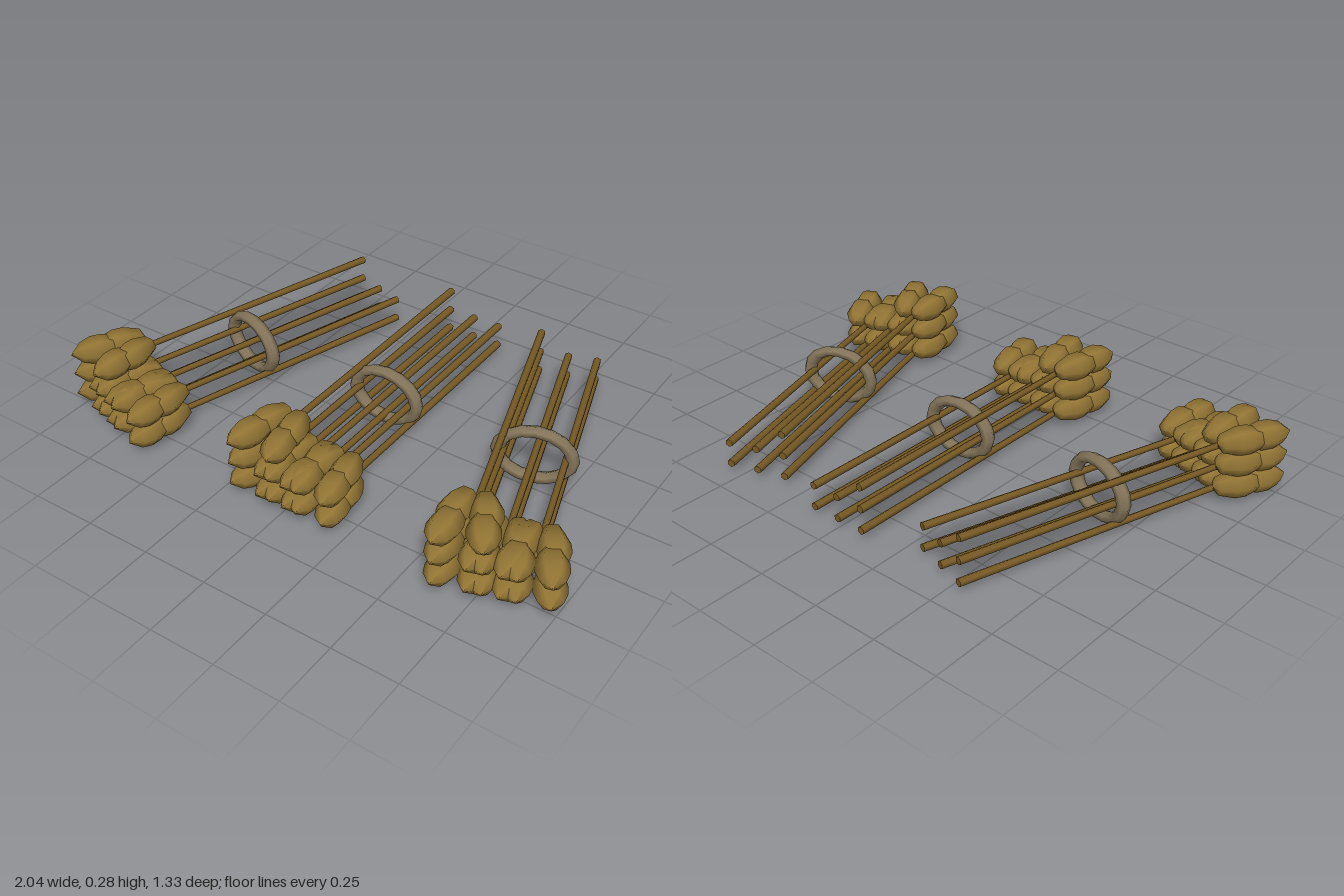
import * as THREE from 'three';

const grainMat = new THREE.MeshStandardMaterial({ color: 0x917434 });
grainMat.name = 'grain gold';
const stalkMat = new THREE.MeshStandardMaterial({ color: 0x785b25 });
stalkMat.name = 'straw brown';
const twineMat = new THREE.MeshStandardMaterial({ color: 0x84755a });
twineMat.name = 'twine grey';

// six-sided grain, blunt at the back and pointed at the front (+z)
function grainGeometry() {
  const profile = [[0, -0.095], [0.036, -0.08], [0.056, -0.02], [0.056, 0.02], [0.042, 0.06], [0, 0.1]]
    .map(([r, y]) => new THREE.Vector2(r, y));
  const g = new THREE.LatheGeometry(profile, 6);
  g.rotateY(Math.PI / 6);
  g.rotateX(Math.PI / 2);
  g.scale(1, 0.89, 1);
  return g;
}

const grainGeo = grainGeometry();
const stalkGeo = new THREE.CylinderGeometry(0.012, 0.015, 1.08, 6).rotateX(Math.PI / 2);
const ringGeo = new THREE.TorusGeometry(0.132, 0.026, 6, 16).scale(1, 0.75, 1);

function add(parent, name, geo, mat, x, y, z, ry = 0) {
  const m = new THREE.Mesh(geo, mat);
  m.name = name;
  m.position.set(x, y, z);
  m.rotation.y = ry;
  parent.add(m);
}

// one stalk carrying an ear of two splayed pairs of grains
function wheatStalk(x, stalkY, earY) {
  const g = new THREE.Group();
  g.name = 'wheatStalk';
  add(g, 'stalk', stalkGeo, stalkMat, x, stalkY, -0.12);
  for (const s of [-1, 1]) {
    add(g, 'backGrain', grainGeo, grainMat, x + s * 0.05, earY, 0.445, s * 0.27);
    add(g, 'frontGrain', grainGeo, grainMat, x + s * 0.062, earY, 0.533, s * 0.22);
  }
  return g;
}

// seven stalks held by an oval ring
function bundle(name, x, turn) {
  const g = new THREE.Group();
  g.name = name;
  const rows = [
    { stalkY: 0.038, earY: 0.062, xs: [-0.11, 0, 0.11] },
    { stalkY: 0.122, earY: 0.15, xs: [-0.11, 0, 0.11] },
    { stalkY: 0.207, earY: 0.233, xs: [-0.11] },
  ];
  for (const r of rows) for (const sx of r.xs) g.add(wheatStalk(sx, r.stalkY, r.earY));
  add(g, 'bindingRing', ringGeo, twineMat, 0, 0.1185, -0.035);
  g.position.x = x;
  g.rotation.y = turn;
  return g;
}

export function createModel() {
  const model = new THREE.Group();
  model.name = 'wheatBundles';
  model.add(bundle('rightBundle', -0.63, -0.3));
  model.add(bundle('middleBundle', 0, 0));
  model.add(bundle('leftBundle', 0.63, 0.3));
  return model;
}
